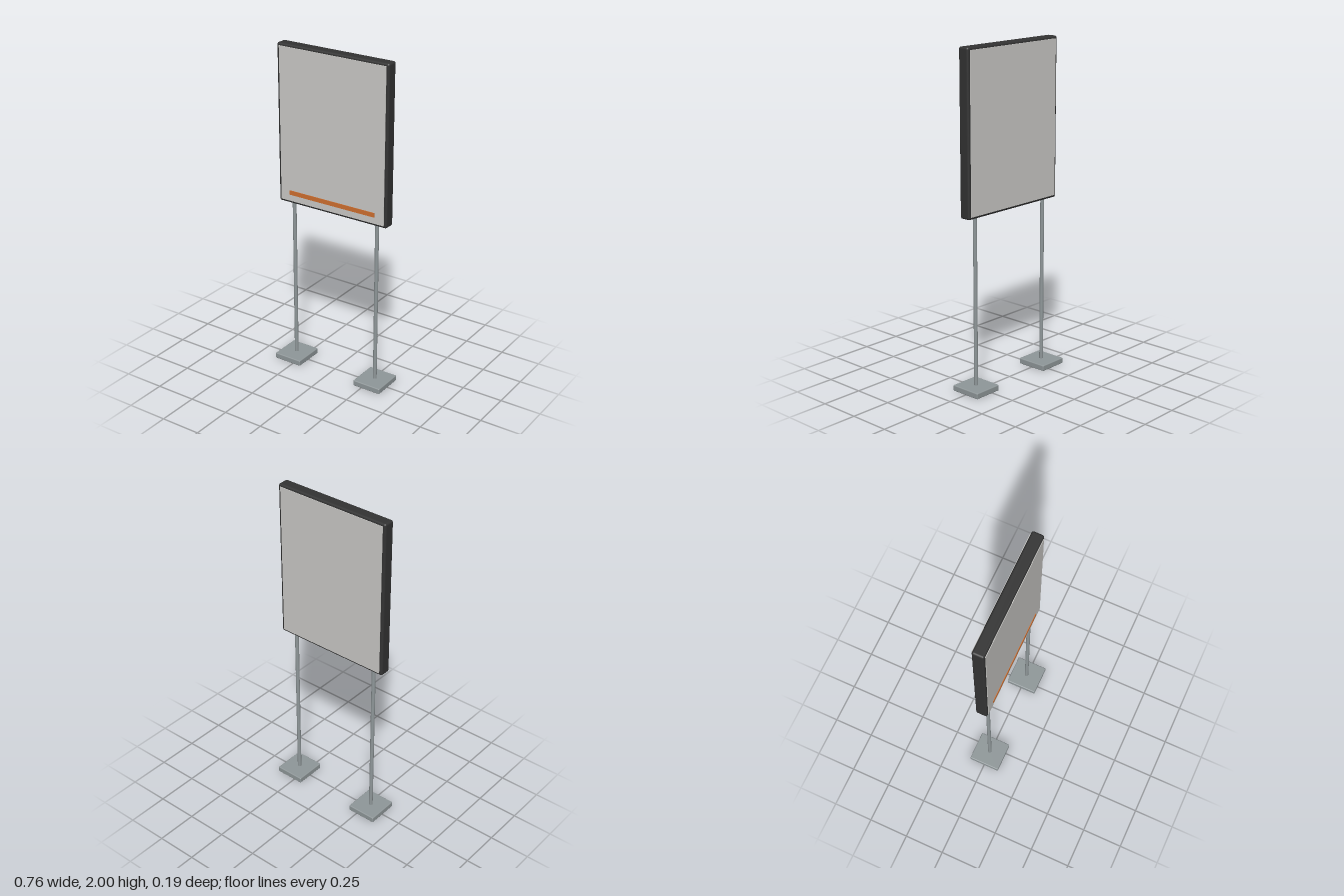
import * as THREE from 'three';
import { RoundedBoxGeometry } from 'three/addons/geometries/RoundedBoxGeometry.js';

function material(name, color) {
  const m = new THREE.MeshStandardMaterial({ color });
  m.name = name;
  return m;
}

export function createModel() {
  const group = new THREE.Group();
  group.name = 'signBoard';

  const charcoal = material('charcoal', 0x333333);
  const paleGrey = material('paleGrey', 0xcbcac7);
  const orange = material('orange', 0xd07030);
  const steel = material('steel', 0x8f9799);

  const add = (name, geometry, mat, x, y, z) => {
    const mesh = new THREE.Mesh(geometry, mat);
    mesh.name = name;
    mesh.position.set(x, y, z);
    group.add(mesh);
  };

  // Board with softly rounded edges
  add('frame', new RoundedBoxGeometry(0.738, 0.956, 0.07, 3, 0.012), charcoal, 0, 1.522, 0);

  // Thin panels on both faces
  const panel = new THREE.BoxGeometry(0.704, 0.926, 0.006);
  add('frontPanel', panel, paleGrey, 0, 1.522, 0.0355);
  add('backPanel', panel, paleGrey, 0, 1.522, -0.0355);

  // Accent strip on the front only
  add('accentStrip', new THREE.BoxGeometry(0.582, 0.027, 0.005), orange, 0, 1.112, 0.0395);

  // Posts and foot plates
  const post = new THREE.CylinderGeometry(0.0115, 0.0115, 1.04, 20);
  const foot = new RoundedBoxGeometry(0.183, 0.036, 0.193, 3, 0.006);
  for (const [side, s] of [['left', 1], ['right', -1]]) {
    add(side + 'Post', post, steel, s * 0.2865, 0.545, 0);
    add(side + 'Foot', foot, steel, s * 0.2865, 0.018, 0);
  }

  return group;
}
